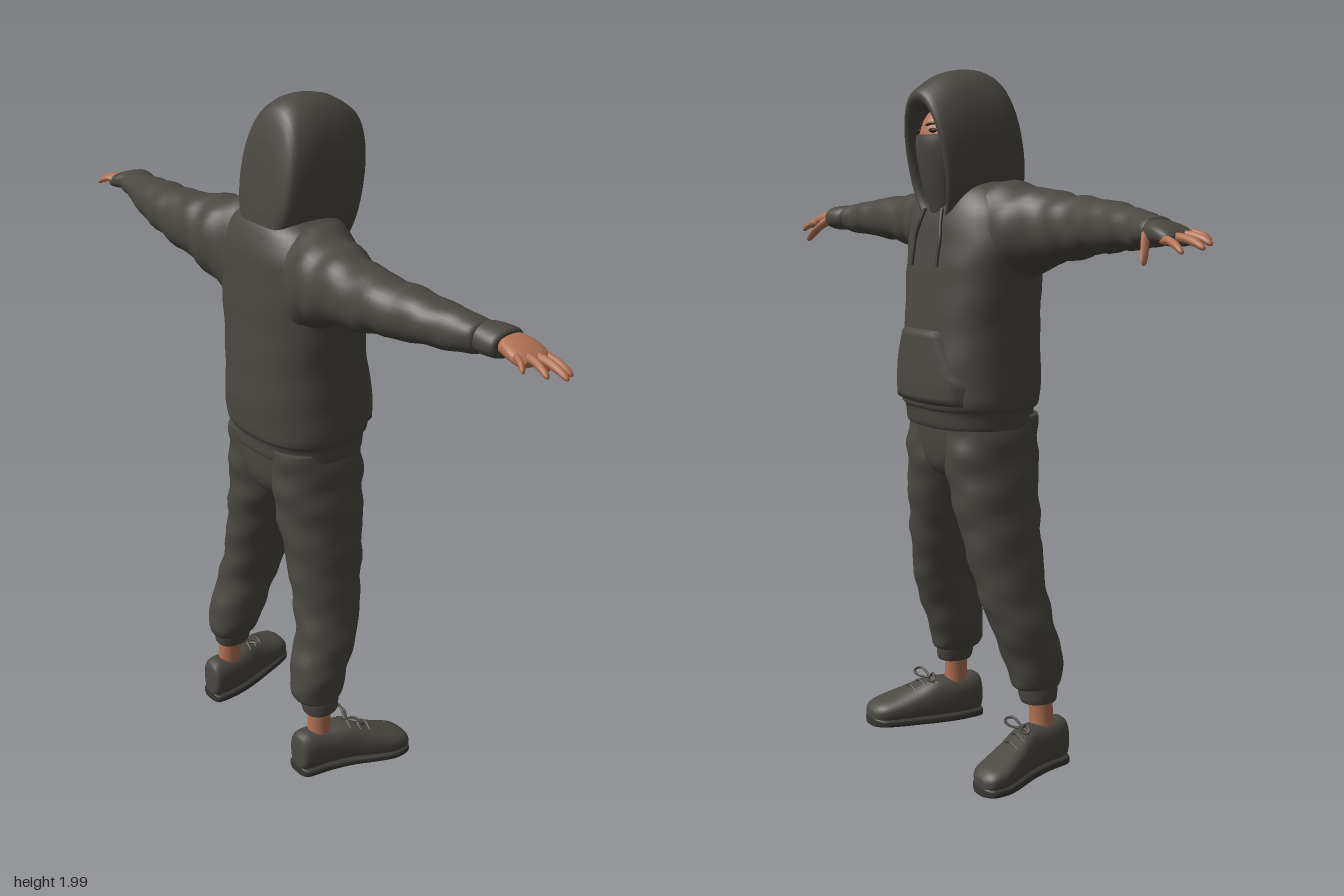
import * as THREE from 'three';

const material = (name, color) => {
  const m = new THREE.MeshStandardMaterial({ color });
  m.name = name;
  return m;
};

// Smooth value through the section list (Catmull-Rom on every column)
function sampleSections(list, s) {
  const n = list.length - 1, i = Math.min(Math.floor(s), n - 1), f = s - i;
  const at = k => list[Math.max(0, Math.min(n, k))];
  return list[i].map((b, k) => {
    const a = at(i - 1)[k], c = at(i + 1)[k], d = at(i + 2)[k];
    return b + 0.5 * f * (c - a + f * (2 * a - 5 * b + 4 * c - d + f * (3 * (b - c) + d - a)));
  });
}

// Closed loft. Section: [position on axis, centre, half width, low, high]
function loft(axis, list, { n = 32, steps = 4, p = 2.2, fold = 0, tilt = 0 } = {}) {
  const pos = [], idx = [], rows = (list.length - 1) * steps;
  const put = (t, u, v) => {
    if (axis === 'y') pos.push(u, t, v);
    else if (axis === 'x') pos.push(t, u, v);
    else pos.push(u, v, t + tilt * (v - 1.75));
  };
  const sgn = v => Math.sign(v) * Math.pow(Math.abs(v), 2 / p);
  for (let r = 0; r <= rows; r++) {
    const [t, u, ru, lo, hi] = sampleSections(list, r / steps);
    for (let j = 0; j < n; j++) {
      const a = j / n * Math.PI * 2;
      const w = 1 + fold * (Math.sin(2 * a + t * 47) + 0.7 * Math.sin(3 * a - t * 71 + 1));
      put(t, u + ru * w * sgn(Math.cos(a)), (lo + hi) / 2 + (hi - lo) / 2 * w * sgn(Math.sin(a)));
    }
  }
  const flip = (axis === 'y') !== (list[list.length - 1][0] < list[0][0]);
  const tri = (a, b, c) => flip ? idx.push(a, c, b) : idx.push(a, b, c);
  for (let r = 0; r < rows; r++) for (let j = 0; j < n; j++) {
    const a = r * n + j, b = r * n + (j + 1) % n;
    tri(a, b, a + n);
    tri(b, b + n, a + n);
  }
  // end caps
  [0, rows].forEach(r => {
    const s = list[r ? list.length - 1 : 0], c = pos.length / 3;
    put(s[0], s[1], (s[3] + s[4]) / 2);
    for (let j = 0; j < n; j++) {
      const a = r * n + j, b = r * n + (j + 1) % n;
      r ? tri(a, b, c) : tri(b, a, c);
    }
  });
  return finish(pos, idx);
}

function finish(pos, idx) {
  const g = new THREE.BufferGeometry();
  g.setAttribute('position', new THREE.Float32BufferAttribute(pos, 3));
  g.setIndex(idx);
  g.computeVertexNormals();
  return g;
}

function mirrored(g) {
  const m = g.clone().scale(-1, 1, 1), i = m.index.array;
  for (let k = 0; k < i.length; k += 3) [i[k + 1], i[k + 2]] = [i[k + 2], i[k + 1]];
  m.computeVertexNormals();
  return m;
}

const tube = (pts, r, n = 20) => new THREE.TubeGeometry(
  new THREE.CatmullRomCurve3(pts.map(q => new THREE.Vector3(...q))), n, r, 6);

const TORSO = [
  [0.995, 0, 0.185, -0.155, 0.135], [1.0, 0, 0.198, -0.168, 0.15], [1.045, 0, 0.203, -0.17, 0.157],
  [1.065, 0, 0.213, -0.188, 0.168], [1.15, 0, 0.212, -0.193, 0.17], [1.28, 0, 0.208, -0.19, 0.158],
  [1.42, 0, 0.225, -0.185, 0.143], [1.52, 0, 0.235, -0.182, 0.128], [1.6, 0, 0.215, -0.175, 0.11],
  [1.66, 0, 0.165, -0.155, 0.08], [1.69, 0, 0.1, -0.125, 0.04]];

// Front surface of the torso at (x, y)
function chest(x, y) {
  let i = 0;
  while (i < TORSO.length - 2 && TORSO[i + 1][0] < y) i++;
  const f = (y - TORSO[i][0]) / (TORSO[i + 1][0] - TORSO[i][0]);
  const [, , w, lo, hi] = sampleSections(TORSO, i + f);
  const k = Math.pow(Math.max(0, 1 - Math.pow(Math.abs(x) / w, 2.4)), 1 / 2.4);
  return (lo + hi) / 2 + (hi - lo) / 2 * k;
}

// Front pouch: a raised patch that follows the torso
function pouch() {
  const pos = [], idx = [], nx = 24, ny = 16;
  for (let j = 0; j <= ny; j++) for (let i = 0; i <= nx; i++) {
    const v = j / ny, u = i / nx * 2 - 1, y = 1.06 + 0.22 * v;
    const w = v < 0.3 ? 0.175 : 0.175 - 0.085 * Math.pow((v - 0.3) / 0.7, 0.8);
    const edge = i % nx === 0 || j % ny === 0;
    pos.push(u * w, y, chest(u * w, y) + (edge ? -0.01 : 0.014));
    if (i < nx && j < ny) {
      const a = j * (nx + 1) + i, b = a + nx + 1;
      idx.push(a, a + 1, b, a + 1, b + 1, b);
    }
  }
  return finish(pos, idx);
}

export function createModel() {
  const cloth = material('charcoal cloth', 0x4b4842);
  const trim = material('dark trim', 0x393733);
  const skin = material('skin', 0xb27253);
  const brown = material('dark brown', 0x35221b);
  const root = new THREE.Group();
  root.name = 'hoodedFigure';
  const add = (name, geo, mat) => {
    const m = new THREE.Mesh(geo, mat);
    m.name = name;
    root.add(m);
    return m;
  };
  const pair = (name, geo, mat) => {
    add(name + 'Left', geo, mat);
    add(name + 'Right', mirrored(geo), mat);
  };

  // Hoodie body, pouch and drawstrings
  add('hoodieBody', loft('y', TORSO, { n: 48, p: 2.4, fold: 0.006 }), cloth);
  add('frontPouch', pouch(), cloth);
  pair('drawstring', tube([1.61, 1.57, 1.53, 1.49, 1.45].map((y, i) =>
    [0.045 + 0.022 * Math.min(1, i / 2), y, chest(0.06, y) + 0.008]), 0.005), trim);

  // Hood: from the inner lining, over the rim, to the back of the head
  add('hood', loft('z', [
    [0.02, 0, 0.08, 1.62, 1.88], [0.11, 0, 0.085, 1.59, 1.89], [0.132, 0, 0.09, 1.575, 1.9],
    [0.138, 0, 0.1, 1.56, 1.92], [0.12, 0, 0.112, 1.55, 1.94], [0.05, 0, 0.12, 1.55, 1.978],
    [-0.03, 0, 0.123, 1.56, 1.993], [-0.09, 0, 0.12, 1.58, 1.985], [-0.125, 0, 0.105, 1.62, 1.955],
    [-0.137, 0, 0.06, 1.7, 1.88]], { n: 40, tilt: 0.18, p: 2.15 }), cloth);

  // Head, mask and eyes
  add('head', new THREE.SphereGeometry(1, 32, 24).scale(0.08, 0.115, 0.098).translate(0, 1.79, 0.05), skin);
  add('faceMask', loft('y', [
    [1.56, 0, 0.055, -0.02, 0.1], [1.62, 0, 0.066, -0.02, 0.118], [1.68, 0, 0.076, -0.02, 0.137],
    [1.74, 0, 0.083, -0.02, 0.15], [1.785, 0, 0.084, -0.02, 0.156], [1.812, 0, 0.081, -0.01, 0.153]],
  { p: 2 }), cloth);
  pair('eye', new THREE.SphereGeometry(1, 16, 10).scale(0.019, 0.007, 0.008).translate(0.032, 1.823, 0.133), brown);
  pair('eyebrow', tube([[0.012, 1.838, 0.141], [0.035, 1.843, 0.132], [0.056, 1.836, 0.114]], 0.004), brown);

  // Sleeves and cuffs
  pair('sleeve', loft('x', [
    [0.05, 1.54, 0.13, -0.15, 0.06], [0.15, 1.535, 0.148, -0.168, 0.075], [0.23, 1.55, 0.122, -0.178, 0.045],
    [0.3, 1.562, 0.1, -0.178, 0.015], [0.38, 1.562, 0.088, -0.172, -0.005], [0.47, 1.568, 0.075, -0.168, -0.012],
    [0.6, 1.57, 0.062, -0.142, -0.005], [0.7, 1.567, 0.05, -0.108, 0.0], [0.755, 1.567, 0.043, -0.09, 0.008],
    [0.765, 1.567, 0.03, -0.075, 0]], { fold: 0.028, steps: 6 }), cloth);
  pair('cuff', loft('x', [
    [0.75, 1.567, 0.036, -0.08, 0.005], [0.765, 1.567, 0.04, -0.08, 0.022], [0.815, 1.566, 0.037, -0.075, 0.035],
    [0.825, 1.566, 0.028, -0.062, 0.022]], { fold: 0.01 }), cloth);

  // Hands: the left one wears a fingerless glove
  const palm = k => loft('x', [
    [0.79, 1.568, 0.02 * k, -0.05, 0.02], [0.83, 1.567, 0.023 * k, -0.058, 0.032],
    [0.87, 1.561, 0.021 * k, -0.068, 0.038], [0.9, 1.553, 0.016 * k, -0.066, 0.034],
    [0.912, 1.549, 0.009 * k, -0.055, 0.025]], { p: 2.5 });
  add('gloveLeft', palm(1.25), cloth);
  add('palmRight', mirrored(palm(1)), skin);
  // base x, y, z then tip x, y, z then radius
  [['littleFinger', 0.88, 1.562, -0.056, 0.935, 1.548, -0.082, 0.009],
    ['ringFinger', 0.89, 1.559, -0.03, 0.978, 1.541, -0.047, 0.0105],
    ['middleFinger', 0.89, 1.555, -0.003, 1.0, 1.533, -0.004, 0.011],
    ['indexFinger', 0.885, 1.55, 0.023, 0.974, 1.523, 0.038, 0.0105],
    ['thumb', 0.82, 1.558, 0.02, 0.875, 1.494, 0.07, 0.0135]].forEach(([name, ax, ay, az, bx, by, bz, r]) => {
    const rows = [[0, 1.1], [0.35, 1], [0.7, 0.95], [0.92, 0.75], [1, 0.3]].map(([t, k]) => {
      const y = ay + (by - ay) * t + 0.008 * Math.sin(t * Math.PI), z = az + (bz - az) * t;
      return [ax + (bx - ax) * t, y, r * k, z - r * k, z + r * k];
    });
    pair(name, loft('x', rows, { n: 12, p: 2 }), skin);
  });

  // Trousers: hips, legs and ankle cuffs
  add('trouserHips', loft('y', [
    [0.835, 0, 0.04, -0.08, 0.06], [0.86, 0, 0.1, -0.13, 0.1], [0.92, 0, 0.17, -0.158, 0.122],
    [1.03, 0, 0.19, -0.163, 0.13]], { n: 40 }), cloth);
  pair('trouserLeg', loft('y', [
    [0.24, 0.222, 0.045, -0.15, -0.04], [0.25, 0.22, 0.058, -0.172, -0.025], [0.29, 0.214, 0.068, -0.183, -0.012],
    [0.36, 0.208, 0.078, -0.172, 0.008], [0.45, 0.2, 0.077, -0.15, 0.045], [0.55, 0.176, 0.077, -0.142, 0.072],
    [0.7, 0.144, 0.088, -0.145, 0.1], [0.84, 0.113, 0.103, -0.153, 0.12], [0.95, 0.106, 0.097, -0.16, 0.125],
    [1.03, 0.1, 0.09, -0.16, 0.12]], { fold: 0.022, steps: 6 }), cloth);
  pair('ankleCuff', loft('y', [
    [0.2, 0.23, 0.036, -0.14, -0.055], [0.204, 0.23, 0.046, -0.152, -0.045], [0.245, 0.224, 0.05, -0.158, -0.038],
    [0.26, 0.222, 0.045, -0.15, -0.045]], {}), cloth);
  pair('ankle', loft('y', [
    [0.09, 0.238, 0.036, -0.15, -0.06], [0.14, 0.235, 0.033, -0.143, -0.07], [0.22, 0.23, 0.033, -0.14, -0.068]],
  { p: 2 }), skin);

  // Shoes, toes turned out
  const SHOE = [
    [-0.187, 0.232, 0.025, 0.025, 0.11], [-0.172, 0.233, 0.044, 0.012, 0.14], [-0.1, 0.24, 0.052, 0.01, 0.137],
    [-0.03, 0.258, 0.057, 0.01, 0.138], [0.03, 0.281, 0.063, 0.01, 0.112], [0.09, 0.302, 0.066, 0.01, 0.088],
    [0.14, 0.312, 0.054, 0.012, 0.07], [0.16, 0.314, 0.025, 0.02, 0.05]];
  pair('shoe', loft('z', SHOE, { p: 2.5 }), cloth);
  pair('shoeSole', loft('z', SHOE.map(([z, x, w]) => [z, x, w + 0.003, 0, 0.028]), { p: 4 }), trim);
  [[-0.03, 0.141], [0.0, 0.131], [0.03, 0.117]].forEach(([z, y], i) => {
    const x = 0.258 + (z + 0.03) * 0.38;
    pair('laceBar' + (i + 1), tube([[x - 0.035, y - 0.014, z], [x, y, z + 0.006], [x + 0.035, y - 0.014, z]], 0.004), cloth);
  });
  [-1, 1].forEach(s => pair(s < 0 ? 'innerLaceLoop' : 'outerLaceLoop', tube([
    [0.258, 0.14, -0.025], [0.258 + s * 0.035, 0.162, -0.015], [0.258 + s * 0.062, 0.148, -0.005],
    [0.258 + s * 0.035, 0.141, 0], [0.258, 0.138, -0.02]], 0.004), cloth));

  // Turn the figure to look along +x
  root.rotation.y = Math.PI / 2;
  const model = new THREE.Group();
  model.name = 'model';
  model.add(root);
  return model;
}
